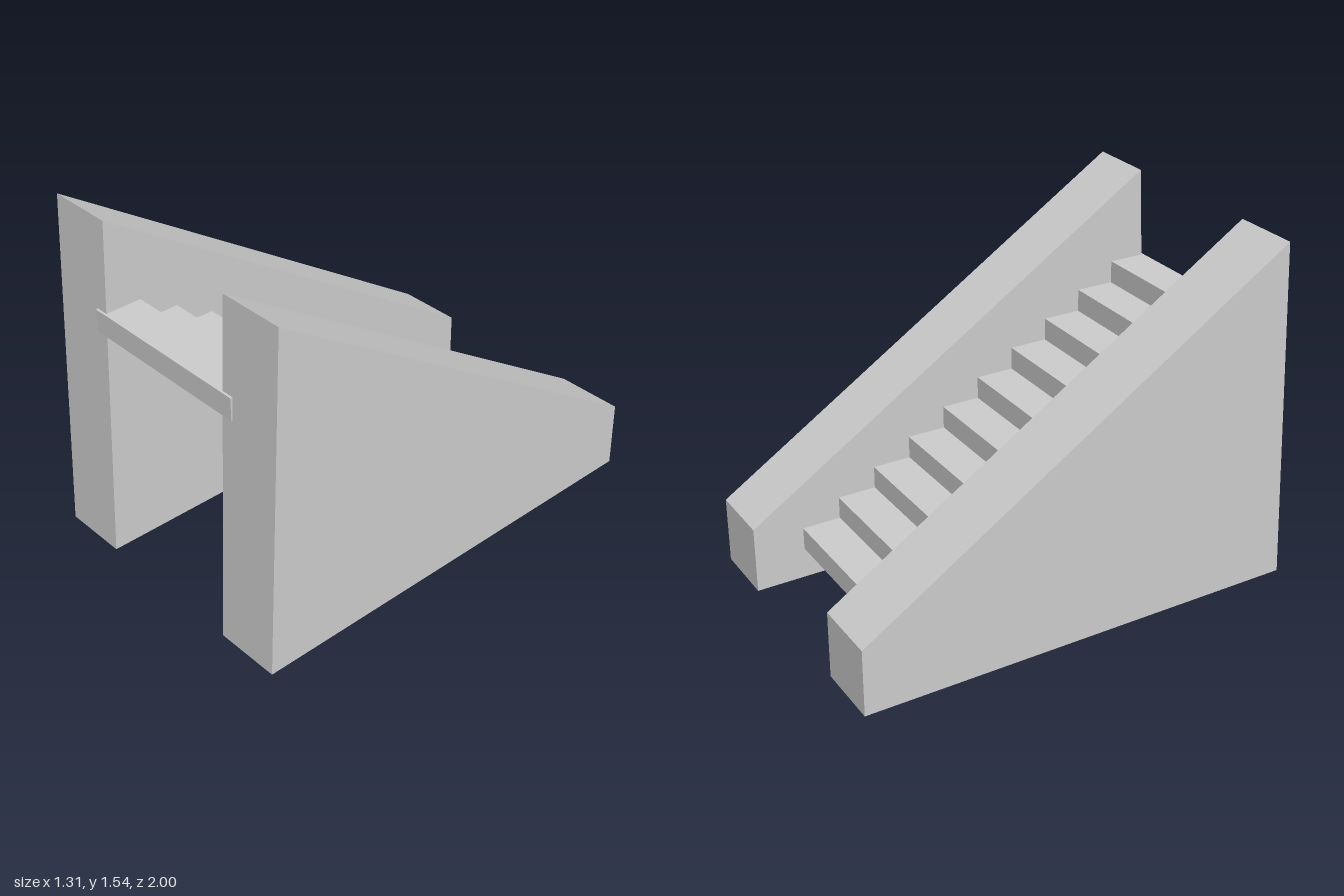
import * as THREE from 'three';

const material = new THREE.MeshStandardMaterial({ color: 0xcccccc, flatShading: true });

function addMesh(parent, name, geometry, x, y, z) {
  const mesh = new THREE.Mesh(geometry, material);
  mesh.name = name;
  mesh.position.set(x, y, z);
  parent.add(mesh);
}

export function createModel() {
  const group = new THREE.Group();
  group.name = 'staircase';

  // Solid sloping side walls, profile drawn as (z, y)
  const profile = new THREE.Shape([
    new THREE.Vector2(1, 0),
    new THREE.Vector2(0.92, 1.54),
    new THREE.Vector2(-1, 0.3),
    new THREE.Vector2(-1, 0),
  ]);
  const wallWidth = 0.298;
  const wall = new THREE.ExtrudeGeometry(profile, { depth: wallWidth, bevelEnabled: false });
  wall.translate(0, 0, -wallWidth / 2);
  wall.rotateY(-Math.PI / 2);
  addMesh(group, 'leftWall', wall, 0.504, 0, 0);
  addMesh(group, 'rightWall', wall, -0.504, 0, 0);

  // Steps rise towards the front, with their ends let into the walls
  const steps = new THREE.Group();
  steps.name = 'steps';
  const count = 10, rise = 0.1, run = 0.1726;
  const step = new THREE.BoxGeometry(0.82, rise, run);
  for (let i = 0; i < count; i++) {
    addMesh(steps, `step${i + 1}`, step, 0, 0.19 + i * rise, -0.775 + (i + 0.5) * run);
  }
  group.add(steps);

  return group;
}
